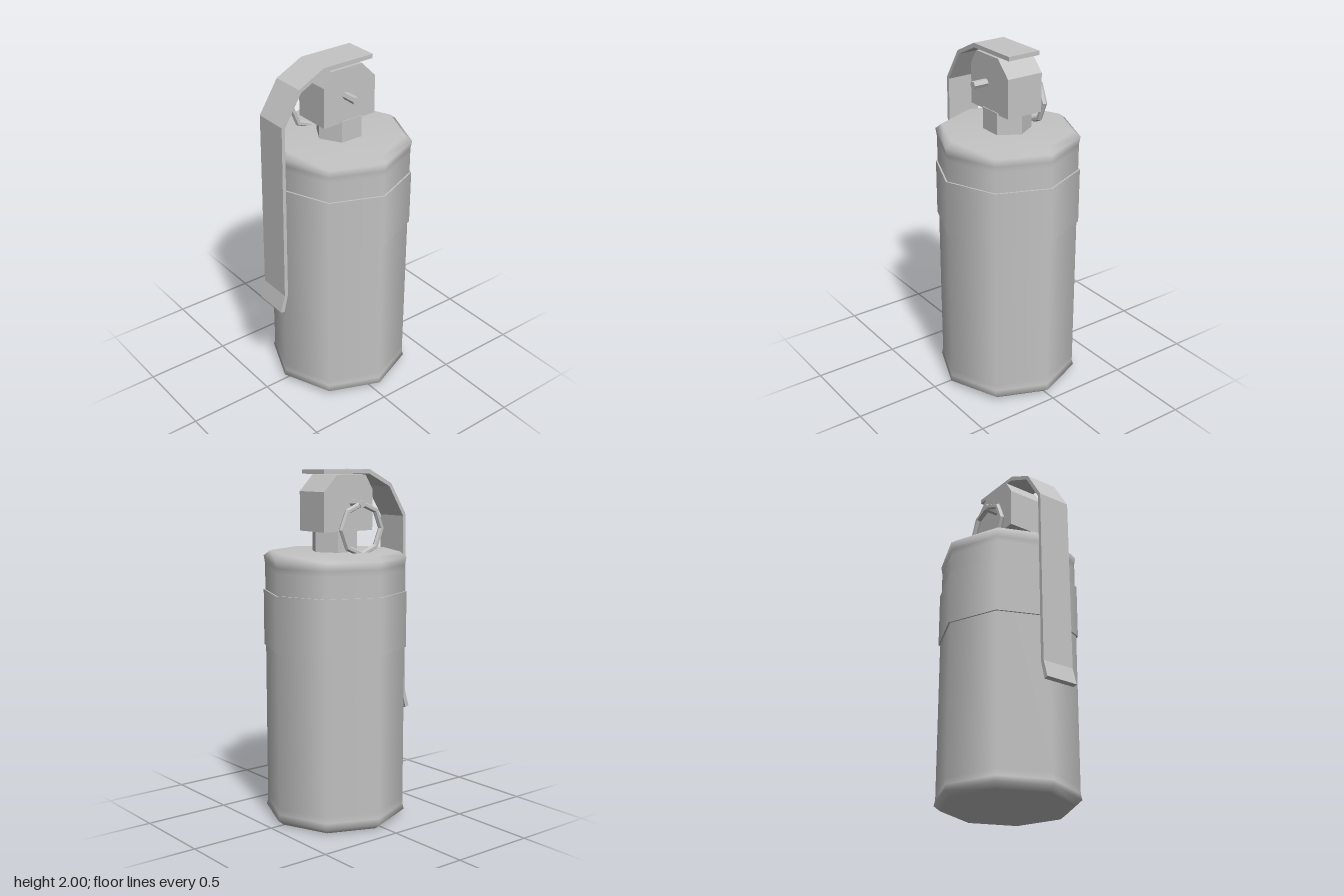
import * as THREE from 'three';

export function createModel() {
  const model = new THREE.Group();
  const grey = new THREE.MeshStandardMaterial({ color: 0xc4c4c4 });
  grey.name = 'grey metal';
  const CX = 0.04; // axis of the canister

  const add = (name, geometry, x = 0, y = 0, z = 0) => {
    const mesh = new THREE.Mesh(geometry, grey);
    mesh.name = name;
    mesh.position.set(x, y, z);
    model.add(mesh);
    return mesh;
  };
  const facet = (geometry) => {
    const g = geometry.toNonIndexed();
    g.computeVertexNormals();
    return g;
  };
  // flat outline in x/y, extruded symmetrically along z
  const plate = (points, depth) => {
    const shape = new THREE.Shape(points.map(([x, y]) => new THREE.Vector2(x, y)));
    return new THREE.ExtrudeGeometry(shape, { depth, bevelEnabled: false }).translate(0, 0, -depth / 2);
  };

  // Eight-sided canister with rolled rims, smooth shaded
  const profile = [
    [0, 0], [0.37, 0], [0.408, 0.03], [0.4, 0.065], [0.4, 0.1],
    [0.4, 1.44], [0.4, 1.47], [0.408, 1.515], [0.37, 1.545], [0, 1.545],
  ].map(([r, y]) => new THREE.Vector2(r, y));
  add('canister', new THREE.LatheGeometry(profile, 8), CX);

  // Raised band around the upper body
  add('band', new THREE.CylinderGeometry(0.41, 0.41, 0.32, 8), CX, 1.16);

  // Hexagonal neck with corners on the x axis
  const neck = new THREE.CylinderGeometry(0.135, 0.135, 0.14, 6).rotateY(Math.PI / 2);
  add('neck', facet(neck), CX, 1.6);

  // Fuse head with chamfered top corners
  add('fuseHead', plate([
    [-0.145, 1.66], [0.2, 1.66], [0.2, 1.88], [0.108, 1.972], [-0.093, 1.972], [-0.145, 1.89],
  ], 0.222));

  // Bent safety lever
  add('lever', plate([
    [0.19, 2], [-0.135, 2], [-0.295, 1.92], [-0.41, 1.738], [-0.42, 0.69], [-0.45, 0.588],
    [-0.425, 0.58], [-0.398, 0.69], [-0.39, 1.73], [-0.282, 1.902], [-0.13, 1.976], [0.19, 1.976],
  ], 0.2));

  // Cross pin and pull ring
  const pin = new THREE.CylinderGeometry(0.022, 0.022, 0.4, 6).rotateZ(Math.PI / 2).rotateY(Math.PI / 2);
  add('pin', facet(pin), 0, 1.815);
  add('pullRing', facet(new THREE.TorusGeometry(0.141, 0.017, 6, 8)), -0.007, 1.675, -0.182);

  return model;
}
